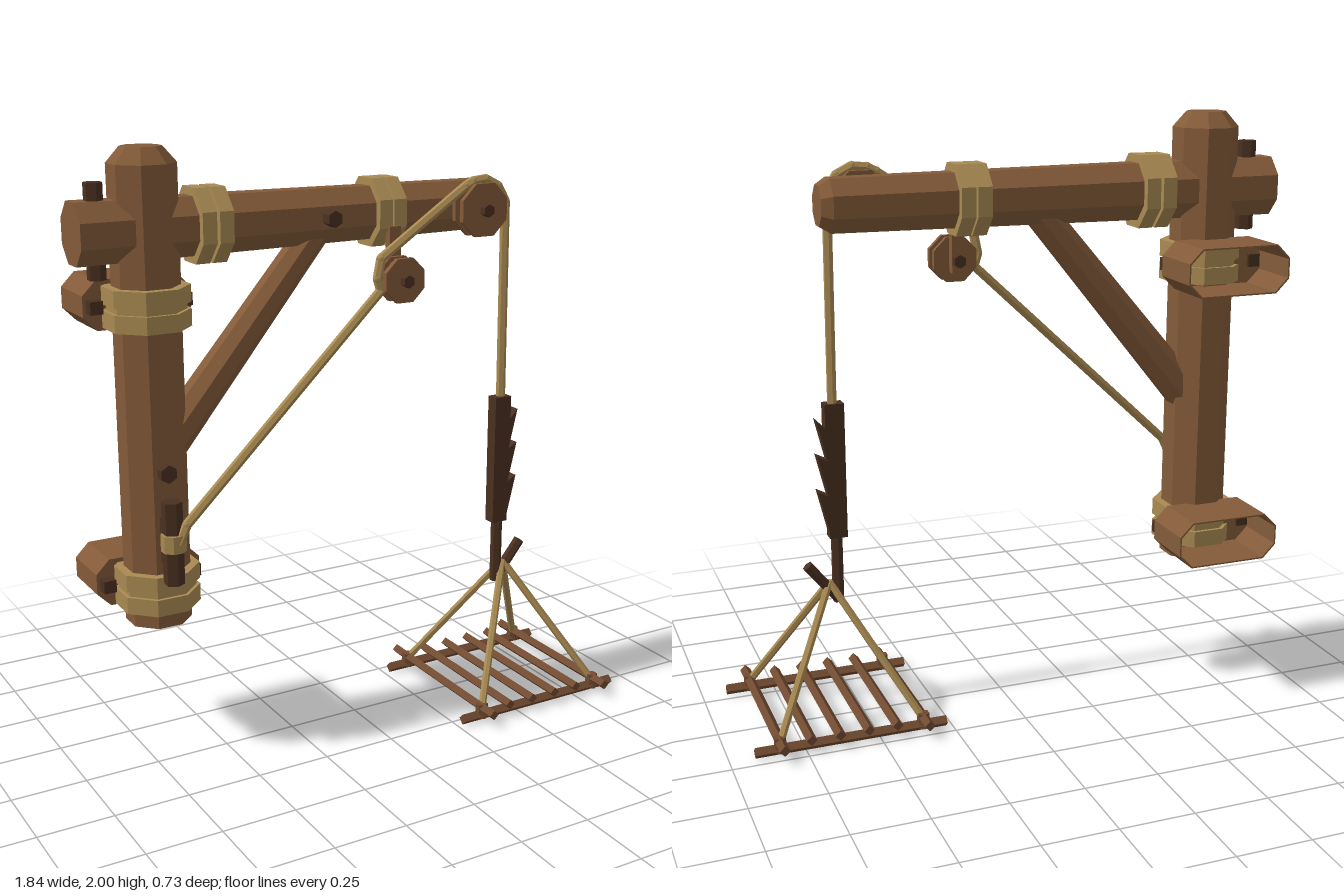
import * as THREE from 'three';

const mat = (name, color) => {
  const m = new THREE.MeshStandardMaterial({ color, flatShading: true });
  m.name = name;
  return m;
};

export function createModel() {
  const root = new THREE.Group();
  root.name = 'woodenHoist';
  const wood = mat('wood', 0x845b39);
  const stick = mat('stickWood', 0x704a30);
  const dark = mat('darkWood', 0x4a3020);
  const rope = mat('rope', 0xa98a52);
  const V = (p) => new THREE.Vector3(...p);
  const OCT = 1 / Math.cos(Math.PI / 8);

  const add = (name, geo, material, parent = root) => {
    const m = new THREE.Mesh(geo, material);
    m.name = name;
    parent.add(m);
    return m;
  };
  const group = (name) => {
    const g = new THREE.Group();
    g.name = name;
    root.add(g);
    return g;
  };
  // Faceted bar from a to b; octagons are sized by their flats
  const bar = (name, a, b, r0, r1, sides, material, parent = root, flatZ = 1) => {
    const A = V(a), B = V(b), d = B.clone().sub(A);
    const k = sides === 8 ? OCT : 1;
    const geo = new THREE.CylinderGeometry(r1 * k, r0 * k, d.length(), sides);
    if (sides === 8) geo.rotateY(Math.PI / 8);
    geo.scale(1, 1, flatZ);
    const m = add(name, geo, material, parent);
    m.position.copy(A).add(B).multiplyScalar(0.5);
    m.quaternion.setFromUnitVectors(new THREE.Vector3(0, 1, 0), d.normalize());
    return m;
  };
  const box = (name, size, pos, material, parent = root) => {
    const m = add(name, new THREE.BoxGeometry(...size), material, parent);
    m.position.set(...pos);
    return m;
  };

  const PX = -0.687, Z = -0.1, BY = 1.75;

  // Upright post with a bevelled top
  bar('post', [PX, 0.47, Z], [PX, 1.95, Z], 0.1, 0.1, 8, wood);
  bar('postTop', [PX, 1.95, Z], [PX, 2, Z], 0.1, 0.06, 8, wood);

  // Tapered cross beam running through the post
  bar('beam', [-0.92, BY, Z], [0.595, BY, Z], 0.096, 0.083, 8, wood, root, 0.88);
  bar('beamTip', [0.595, BY, Z], [0.63, BY, Z], 0.083, 0.062, 8, wood, root, 0.88);
  bar('beamPeg', [-0.845, 1.605, Z], [-0.845, 1.9, Z], 0.03, 0.03, 6, dark);

  // Diagonal brace
  bar('brace', [-0.65, 1.035, Z], [-0.06, 1.74, Z], 0.06, 0.048, 8, wood);
  bar('bracePeg', [-0.08, BY, -0.06], [-0.08, BY, 0.02], 0.028, 0.028, 6, dark);
  bar('postPeg', [PX, 0.995, -0.04], [PX, 0.995, 0.03], 0.03, 0.03, 6, dark);

  // Paired rope lashings round the beam
  for (const [x, r] of [[-0.512, 0.118], [-0.454, 0.118], [0.121, 0.112], [0.175, 0.112]])
    bar('beamLashing', [x - 0.024, BY, Z], [x + 0.024, BY, Z], r, r, 8, rope, root, 0.89);

  // Wall brackets: hollow at the back, bolted and lashed to the post
  const outline = (w, h, c, T) => {
    const pts = [[w - c, -h], [w, c - h], [w, h - c], [w - c, h], [c - w, h], [-w, h - c], [-w, c - h], [c - w, -h]];
    return new T(pts.map(([x, y]) => new THREE.Vector2(x, y)));
  };
  for (const y of [1.51, 0.59]) {
    const g = group('wallBracket');
    const shell = outline(0.182, 0.08, 0.046, THREE.Shape);
    shell.holes.push(outline(0.177, 0.075, 0.044, THREE.Path));
    const opts = { depth: 0.185, bevelEnabled: false };
    add('bracketShell', new THREE.ExtrudeGeometry(shell, opts), wood, g).position.set(PX, y, -0.368);
    const plate = outline(0.182, 0.08, 0.046, THREE.Shape);
    add('bracketFront', new THREE.ExtrudeGeometry(plate, { depth: 0.008, bevelEnabled: false }), wood, g)
      .position.set(PX, y, -0.183);
    for (const s of [-1, 1]) {
      box('bracketBolt', [0.042, 0.042, 0.06], [PX + s * 0.15, y, -0.165], dark, g);
      bar('postLashing', [PX, y + s * 0.038 - 0.028, Z], [PX, y + s * 0.038 + 0.028, Z], 0.128, 0.128, 8, rope, g);
    }
    bar('lashingCore', [PX, y - 0.02, Z], [PX, y + 0.02, Z], 0.116, 0.116, 8, rope, g);
  }

  // Cleat with rope wrapped round it
  const cleat = group('cleat');
  box('cleatBase', [0.05, 0.15, 0.05], [PX, 0.775, 0.01], dark, cleat);
  bar('cleatBar', [PX, 0.635, 0.042], [PX, 0.91, 0.042], 0.034, 0.034, 6, dark, cleat);
  bar('cleatWrap', [PX, 0.748, 0.047], [PX, 0.805, 0.047], 0.038, 0.038, 8, rope, cleat);

  // Pulleys: two flanges, a hub and an axle
  const RZ = 0.043;
  for (const [x, y, r] of [[0.15, 1.54, 0.073], [0.46, BY, 0.088]]) {
    const g = group('pulley');
    bar('backFlange', [x, y, 0.01], [x, y, 0.028], r, r, 8, wood, g);
    bar('frontFlange', [x, y, 0.057], [x, y, 0.075], r, r, 8, wood, g);
    bar('hub', [x, y, 0.02], [x, y, 0.065], r * 0.8, r * 0.8, 8, wood, g);
    bar('axle', [x, y, -0.04], [x, y, 0.1], 0.022, 0.022, 6, dark, g);
  }
  box('pulleyHanger', [0.042, 0.21, 0.03], [0.15, 1.605, -0.005], wood);

  // Hoisting rope from the cleat, round both pulleys and down
  const line = [[-0.68, 0.775, 0.072], [-0.65, 0.835, 0.07], [0.075, 1.51, RZ], [0.062, 1.55, RZ],
    [0.075, 1.615, RZ], [0.4, 1.83, RZ], [0.43, 1.845, RZ], [0.48, 1.85, RZ],
    [0.53, 1.825, RZ], [0.563, 1.77, RZ], [0.567, 1.07, RZ]];
  const hoist = group('hoistRope');
  for (let i = 1; i < line.length; i++) {
    bar('ropeLength', line[i - 1], line[i], 0.016, 0.016, 6, rope, hoist);
    if (i < line.length - 1) add('ropeBend', new THREE.IcosahedronGeometry(0.016, 1), rope, hoist).position.set(...line[i]);
  }

  // Notched pot hanger
  const saw = [[0.532, 0.63], [0.532, 1.09], [0.597, 1.09], [0.597, 1.01]];
  for (const y of [1.04, 0.918, 0.796]) saw.push([0.626, y], [0.592, y - 0.14]);
  saw.push([0.592, 0.63]);
  const sawShape = new THREE.Shape(saw.map(([x, y]) => new THREE.Vector2(x, y)));
  add('notchedBar', new THREE.ExtrudeGeometry(sawShape, { depth: 0.045, bevelEnabled: false }), dark)
    .position.z = RZ - 0.0225;
  bar('hookShank', [0.565, 0.4, RZ], [0.565, 0.66, RZ], 0.02, 0.02, 6, dark);
  bar('hookArm', [0.562, 0.405, RZ], [0.668, 0.537, RZ], 0.019, 0.019, 6, dark);

  // Hanging platform of sticks and its four ropes
  const tray = group('platform');
  const xs = [0.35, 0.448, 0.545, 0.642, 0.738, 0.835], zs = [-0.205, 0.285];
  for (const z of zs) bar('rail', [0.27, 0.019, z], [0.917, 0.019, z], 0.019, 0.019, 4, stick, tray);
  xs.forEach((x, i) => {
    const half = i % 5 === 0 ? 0.322 : 0.282;
    bar('slat', [x, 0.048, 0.04 - half], [x, 0.048, 0.04 + half], 0.018, 0.018, 4, stick, tray);
  });
  for (const x of [xs[0], xs[5]])
    for (const z of zs) {
      bar('platformRope', [x, 0.04, z], [0.595, 0.47, RZ], 0.013, 0.013, 6, rope, tray);
      bar('ropeKnot', [x, 0.01, z], [x, 0.062, z], 0.021, 0.021, 6, stick, tray);
    }
  return root;
}
